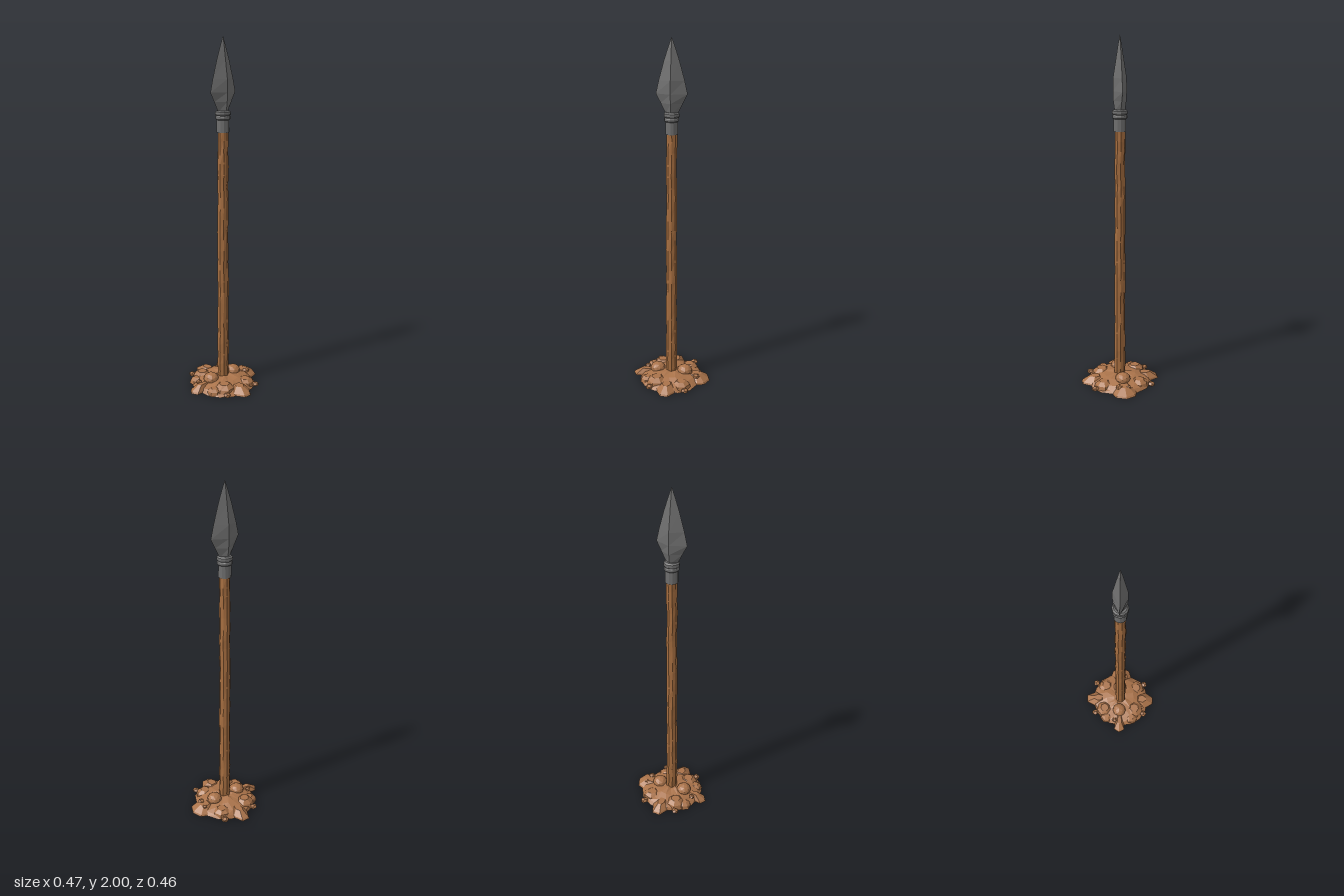
import * as THREE from 'three';

// Small seeded generator for the rough surfaces, -1..1
function seeded(seed) {
  let s = seed;
  return () => {
    s = (s * 16807) % 2147483647;
    return (s / 2147483647) * 2 - 1;
  };
}

// Skin rings of [x, y, z] points (bottom to top) and close both ends
function loft(rings) {
  const n = rings[0].length;
  const pos = [];
  const idx = [];
  rings.forEach((r) => r.forEach((p) => pos.push(...p)));
  for (let j = 0; j < rings.length - 1; j++) {
    for (let i = 0; i < n; i++) {
      const a = j * n + i;
      const b = j * n + ((i + 1) % n);
      idx.push(a, a + n, b, b, a + n, b + n);
    }
  }
  [0, rings.length - 1].forEach((j) => {
    const c = [0, 1, 2].map((k) => rings[j].reduce((t, p) => t + p[k], 0) / n);
    const ci = pos.length / 3;
    pos.push(...c);
    for (let i = 0; i < n; i++) {
      const a = j * n + i;
      const b = j * n + ((i + 1) % n);
      if (j === 0) idx.push(ci, a, b);
      else idx.push(ci, b, a);
    }
  });
  const g = new THREE.BufferGeometry();
  g.setAttribute('position', new THREE.Float32BufferAttribute(pos, 3));
  g.setIndex(idx);
  const flat = g.toNonIndexed();
  flat.computeVertexNormals();
  return flat;
}

// One ring of n points; f(angle, i) gives [x, y, z]
function ring(n, f) {
  return Array.from({ length: n }, (_, i) => f((i / n) * Math.PI * 2, i));
}

export function createModel() {
  const model = new THREE.Group();
  const make = (name, color) => {
    const m = new THREE.MeshStandardMaterial({ color, flatShading: true });
    m.name = name;
    return m;
  };
  const wood = make('wood', 0xa66e40);
  const dirt = make('dirt', 0xaa734a);
  const steel = make('steel', 0x6e6e6e);
  const add = (name, geometry, material, parent = model) => {
    const mesh = new THREE.Mesh(geometry, material);
    mesh.name = name;
    parent.add(mesh);
    return mesh;
  };

  // Rough-hewn wooden shaft, slightly tapered
  const rs = seeded(71);
  const shaftRings = [];
  for (let j = 0; j <= 24; j++) {
    const t = j / 24;
    const dx = rs() * 0.0015;
    const dz = rs() * 0.0015;
    shaftRings.push(ring(9, (a) => {
      const r = 0.0335 - 0.004 * t + rs() * 0.0018;
      const y = 0.01 + 1.5 * t + (j > 0 && j < 24 ? rs() * 0.014 : 0);
      return [Math.cos(a) * r + dx, y, Math.sin(a) * r + dz];
    }));
  }
  add('shaft', loft(shaftRings), wood);

  // Metal socket with a flared collar
  const profile = [
    [0, 1.495], [0.035, 1.495], [0.034, 1.562], [0.041, 1.568], [0.041, 1.58],
    [0.038, 1.585], [0.043, 1.592], [0.042, 1.606], [0.034, 1.613], [0, 1.613],
  ].map(([x, y]) => new THREE.Vector2(x, y));
  add('socket', new THREE.LatheGeometry(profile, 12), steel);

  // Leaf-shaped blade with a central ridge on both faces
  const blade = [
    [1.605, 0.033, 0.028], [1.66, 0.06, 0.036], [1.71, 0.086, 0.038],
    [1.78, 0.07, 0.037], [1.88, 0.042, 0.021], [1.95, 0.019, 0.01], [2, 0.0005, 0.0005],
  ].map(([y, w, d]) => ring(4, (a) => [Math.cos(a) * w, y, Math.sin(a) * d]));
  add('blade', loft(blade), steel);

  // Faceted earth mound
  const mound = new THREE.Group();
  mound.name = 'mound';
  model.add(mound);
  const rm = seeded(913);
  const levels = [[0.188, 0], [0.172, 0.018], [0.14, 0.033], [0.095, 0.046], [0.045, 0.054]];
  add('moundBody', loft(levels.map(([r, y], j) => ring(16, (a) => {
    const k = r * (1 + rm() * 0.045);
    const h = j ? y + rm() * 0.005 : 0;
    return [Math.cos(a + j * 0.12) * k, h, Math.sin(a + j * 0.12) * k];
  }))), dirt, mound);

  // Clods spreading from the four sides: angle, reach, tip half width, root half width
  [
    [0, 0.235, 0.035, 0.07], [Math.PI / 2, 0.228, 0.022, 0.06],
    [Math.PI, 0.236, 0.022, 0.032], [-Math.PI / 2, 0.231, 0.024, 0.052],
  ].forEach(([a, reach, tip, root], i) => {
    const nose = i % 2 ? 0 : 0.022;
    const outline = [
      [reach - nose, -tip * (nose ? 1.6 : 1)], [reach, 0], [reach - nose, tip * (nose ? 1.6 : 1)],
      [0.17, root], [0.1, root * 0.7], [0.1, -root * 0.7], [0.17, -root],
    ];
    const layer = (y, s) => outline.map(([x, z]) => [0.145 + (x - 0.145) * s, y, z * s]);
    const clod = add('clod', loft([layer(0, 1), layer(0.01, 0.93), layer(0.04, 0.42)]), dirt, mound);
    clod.rotation.y = -a;
  });

  // Low lumps on the left and right flanks: x, z, radius, height
  [
    [-0.075, -0.105, 0.062, 0.053], [-0.07, 0.1, 0.066, 0.052], [-0.13, 0.08, 0.045, 0.036],
    [-0.125, -0.09, 0.045, 0.036], [0.08, 0.11, 0.058, 0.044], [0.09, -0.1, 0.06, 0.044],
  ].forEach(([x, z, r, h], i) => {
    const lump = add('lump', loft([[1, 0], [0.85, 0.6], [0.45, 1]].map(([s, t]) =>
      ring(7, (a) => [Math.cos(a) * r * s * (1 + rm() * 0.08), h * t, Math.sin(a) * r * s]))), dirt, mound);
    lump.position.set(x, 0, z);
    lump.rotation.y = i * 0.9;
  });

  // Stones beside the shaft and pebbles around the rim: x, y, z, radius
  [
    [-0.086, 0.048, -0.004, 0.045], [0.08, 0.048, -0.004, 0.045],
    [-0.101, 0.014, -0.17, 0.021], [0.112, 0.014, -0.169, 0.022],
    [-0.101, 0.014, 0.164, 0.021], [0.112, 0.014, 0.164, 0.021],
    [-0.155, 0.036, -0.034, 0.017], [0.164, 0.034, -0.023, 0.017], [0.156, 0.036, 0.03, 0.021],
  ].forEach(([x, y, z, r], i) => {
    const stone = add(i < 2 ? 'stone' : 'pebble',
      i < 2 ? new THREE.IcosahedronGeometry(r, 1) : new THREE.DodecahedronGeometry(r), dirt, mound);
    stone.position.set(x, y, z);
    stone.rotation.y = i * 0.8;
    stone.scale.y = i < 2 ? 0.8 : 0.65;
  });

  return model;
}
